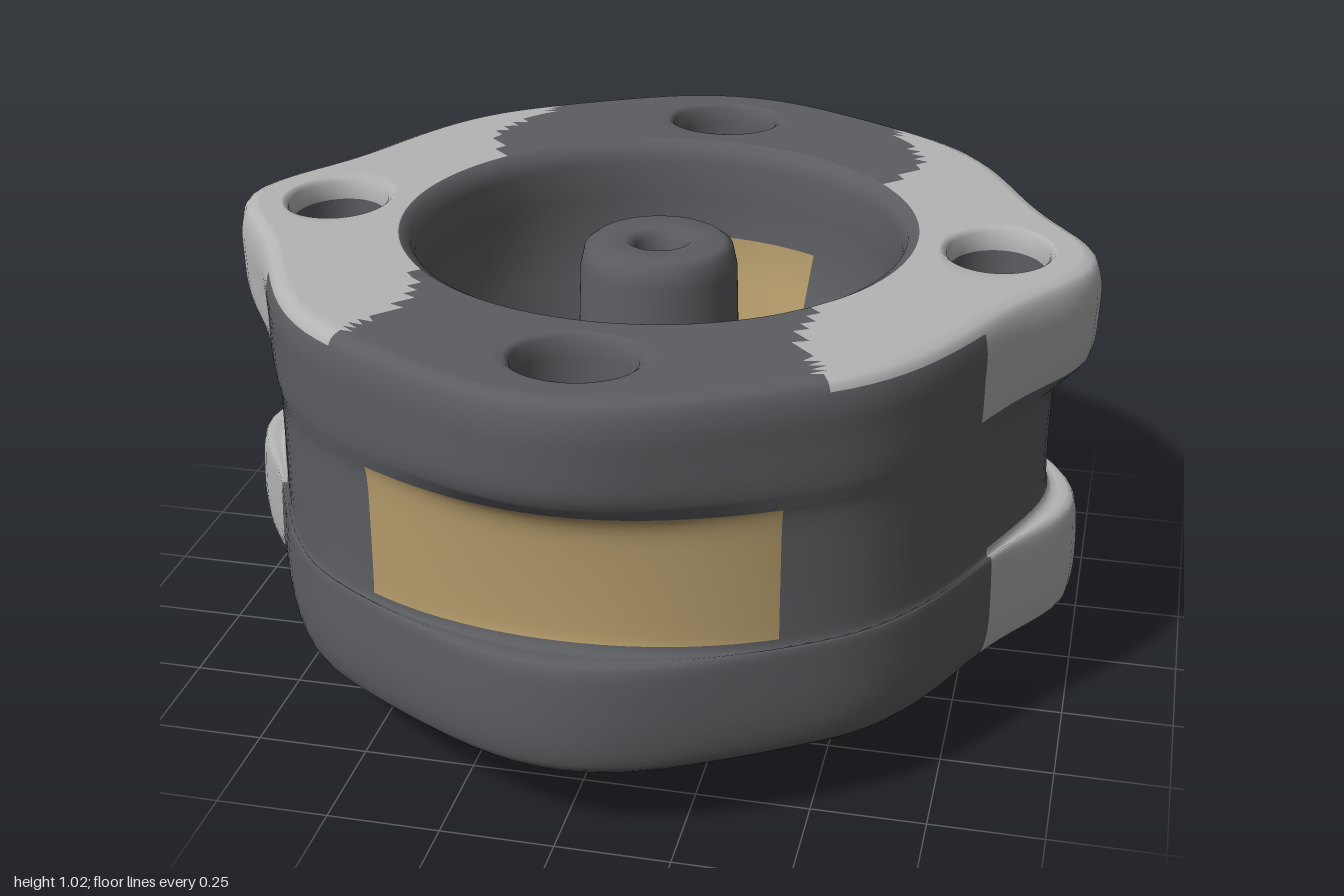
import * as THREE from 'three';
import { mergeVertices, mergeGeometries } from 'three/addons/utils/BufferGeometryUtils.js';

const { sin, cos, PI, hypot, abs } = Math;
const { lerp, smoothstep, clamp } = THREE.MathUtils;
const Q = 32;            // segments per quadrant
const N = Q * 4;
const TOP = 1.02, BOTTOM = 0.165, EDGE = 0.04;

// Four rounded lobes, one on each axis, wider at front and back
const lobe = t => {
  const d = t - Math.round(t / (PI / 2)) * PI / 2;
  const w = 0.23 + 0.09 * sin(t) ** 2;
  return Math.exp(-((d / w) ** 2));
};
// Outer radius: w = 0 is the nearly round waist, w = 1 the lobed flange
const outer = (t, w) => {
  const base = 0.885 + 0.05 * smoothstep(sin(t) ** 2, 0.08, 0.65);
  return lerp(lerp(base - 0.015, 0.912, lobe(t)), lerp(base, 1, lobe(t)), w);
};

// Height of the underside: an uneven boss that reaches out on the diagonals
const under = (x, z) => {
  const r = hypot(x, z), t = Math.atan2(z, x);
  const edge = 0.64 + 0.32 * sin(2 * t) ** 2;
  const dip = 0.04 * Math.exp(-(((x - 0.08) / 0.15) ** 2 + ((z + 0.4) / 0.12) ** 2));
  const boss = 0.04 + 0.045 * smoothstep(-x, 0.1, 0.5) - dip;
  return lerp(boss, BOTTOM, smoothstep(r, 0.4, edge));
};

// Grid surface; fn(i, j) gives a point, the normal is di x dj unless flipped
function grid(nu, nv, fn, flip = false) {
  const pos = [], idx = [];
  for (let j = 0; j <= nv; j++) for (let i = 0; i <= nu; i++) pos.push(...fn(i, j));
  for (let j = 0; j < nv; j++) for (let i = 0; i < nu; i++) {
    const a = j * (nu + 1) + i, b = a + 1, c = a + nu + 1, d = c + 1;
    idx.push(...(flip ? [a, c, b, b, c, d] : [a, b, c, b, d, c]));
  }
  const g = new THREE.BufferGeometry();
  g.setAttribute('position', new THREE.Float32BufferAttribute(pos, 3));
  g.setIndex(idx);
  return g;
}

const ringAngle = i => -PI / 4 + i * 2 * PI / N;

// Boundary of one quadrant, each point paired with an angle on the bolt hole
function quadrantLoop(k, inner) {
  const out = [], M = 8, deg = PI / 180, base = k * PI / 2;
  const add = (t, f, phi) => {
    const r = lerp(outer(t, 1) - EDGE, inner, f);
    out.push({ x: r * cos(t), z: r * sin(t), phi: phi * deg });
  };
  const arc = i => base - PI / 4 + i * PI / 2 / Q;
  for (let i = 0; i < Q; i++) add(arc(i), 0, lerp(-105, 105, i / Q));
  for (let j = 0; j < M; j++) add(arc(Q), j / M, lerp(105, 130, j / M));
  for (let i = 0; i < Q; i++) add(arc(Q - i), 1, lerp(130, 230, i / Q));
  for (let j = 0; j <= M; j++) add(arc(0), 1 - j / M, lerp(230, 255, j / M));
  return out;
}

// Point on the rim of the bolt hole in quadrant k
function holePoint(k, phi, s) {
  const a = 0.77 + 0.108 * s * cos(phi), b = 0.124 * s * sin(phi);
  const c = cos(k * PI / 2), d = sin(k * PI / 2);
  return [a * c - b * d, a * d + b * c];
}

function bodyGeometry() {
  const parts = [];

  // Outer wall as [flange amount, height, inset]: upper flange, waist, lower flange
  const wall = new THREE.CatmullRomCurve3([[1, TOP, EDGE], [1, 1.008, 0.015], [1, 0.96, 0],
    [1, 0.89, 0], [0.95, 0.82, 0], [0.55, 0.765, 0], [0.1, 0.72, 0], [0, 0.67, 0],
    [0, 0.48, 0], [0.1, 0.44, 0], [0.75, 0.425, 0], [0.87, 0.38, 0], [0.9, 0.26, 0],
    [0.95, 0.19, 0.015], [1, BOTTOM, EDGE]].map(p => new THREE.Vector3(...p))).getPoints(52);
  parts.push(grid(N, 52, (i, j) => {
    const t = ringAngle(i), p = wall[j];
    const r = outer(t, p.x) - p.z, x = r * cos(t), z = r * sin(t);
    const sag = clamp((0.35 - p.y) / (0.35 - BOTTOM), 0, 1);
    return [x, p.y + (under(x, z) - BOTTOM) * sag, z];
  }));

  // Cavity wall, floor, centre post with its bore, and the dish underneath
  const core = [[0.59, TOP], [0.565, 1.005], [0.555, 0.97], [0.55, 0.88], [0.555, 0.78],
    [0.53, 0.68], [0.5, 0.57], [0.47, 0.46], [0.455, 0.42], [0.42, 0.4], [0.36, 0.4],
    [0.28, 0.4], [0.25, 0.42], [0.235, 0.47], [0.21, 0.6], [0.185, 0.75], [0.18, 0.92],
    [0.17, 0.965], [0.15, 0.98], [0.075, 0.98], [0.055, 0.96], [0.053, 0.9], [0.053, 0.16],
    [0.065, 0.11], [0.15, 0.11], [0.27, 0.11], [0.31, 0.095], [0.34, 0]];
  parts.push(grid(N, core.length - 1, (i, j) => {
    const t = ringAngle(i), [r, y] = core[j], x = r * cos(t), z = r * sin(t);
    return [x, j === core.length - 1 ? under(x, z) : y, z];
  }, true));

  // Top and bottom faces and the bolt holes, one quadrant at a time
  const rows = [[1.16, TOP], [1.06, 1.01], [1, 0.97], [1, 0.6], [1, 0.23], [1.05, 0.18], [1.16, BOTTOM]];
  for (let k = 0; k < 4; k++) {
    for (const [inner, isTop] of [[0.59, true], [0.34, false]]) {
      const loop = quadrantLoop(k, inner), S = 12;
      parts.push(grid(loop.length - 1, S, (i, j) => {
        const p = loop[i], [hx, hz] = holePoint(k, p.phi, 1.16);
        const x = lerp(hx, p.x, j / S), z = lerp(hz, p.z, j / S);
        return [x, isTop ? TOP : under(x, z), z];
      }, !isTop));
      // Each half of the hole wall follows the rim of the face it meets
      const half = isTop ? rows.slice(0, 4) : rows.slice(3);
      parts.push(grid(loop.length - 1, 3, (i, j) => {
        const [x, z] = holePoint(k, loop[i].phi, half[j][0]);
        return [x, !isTop && j === 3 ? under(x, z) : half[j][1], z];
      }, true));
    }
  }
  const g = mergeVertices(mergeGeometries(parts), 1e-4);
  g.computeVertexNormals();
  return g;
}

// Colour zone of a surface point
function zone(x, y, z) {
  const r = hypot(x, z), band = y > 0.45 && y < 0.75;
  if (band && r > 0.885 && abs(x) < 0.42) return 'coilWindows';
  if (band && r > 0.45 && r < 0.56 && abs(x) < 0.27) return 'coilWindows';
  if (band && r > 0.18 && r < 0.25) return 'coilWindows';
  if (y > 1 && r > 0.585 && abs(x) > 0.47 + 0.05 * sin(9 * z)) return 'lightLobes';
  if (y > 0.8 && r > 0.65 && abs(x) > 0.65 && abs(z) < 0.42) return 'lightLobes';
  if (y > 0.16 && y < 0.45 && abs(x) > 0.65 && abs(z) < 0.34) return 'lightLobes';
  if (y < 0.14) return 'darkUnderside';
  return 'housing';
}

export function createModel() {
  const group = new THREE.Group();
  const colors = { housing: 0x5c5d61, lightLobes: 0xb4b4b4, coilWindows: 0xb39a6a, darkUnderside: 0x38393b };
  const body = bodyGeometry(), p = body.attributes.position, index = body.index.array;
  const faces = Object.fromEntries(Object.keys(colors).map(n => [n, []]));
  // Sort whole quads (two triangles each) into the colour zones
  for (let f = 0; f < index.length; f += 6) {
    const quad = Array.from(index.slice(f, f + 6));
    const mid = ['getX', 'getY', 'getZ'].map(get => quad.reduce((s, v) => s + p[get](v), 0) / 6);
    faces[zone(...mid)].push(...quad);
  }
  for (const [name, list] of Object.entries(faces)) {
    const g = new THREE.BufferGeometry();
    g.setAttribute('position', p);
    g.setAttribute('normal', body.attributes.normal);
    g.setIndex(list);
    const mesh = new THREE.Mesh(g, new THREE.MeshStandardMaterial({ color: colors[name] }));
    mesh.name = name;
    group.add(mesh);
  }
  return group;
}
